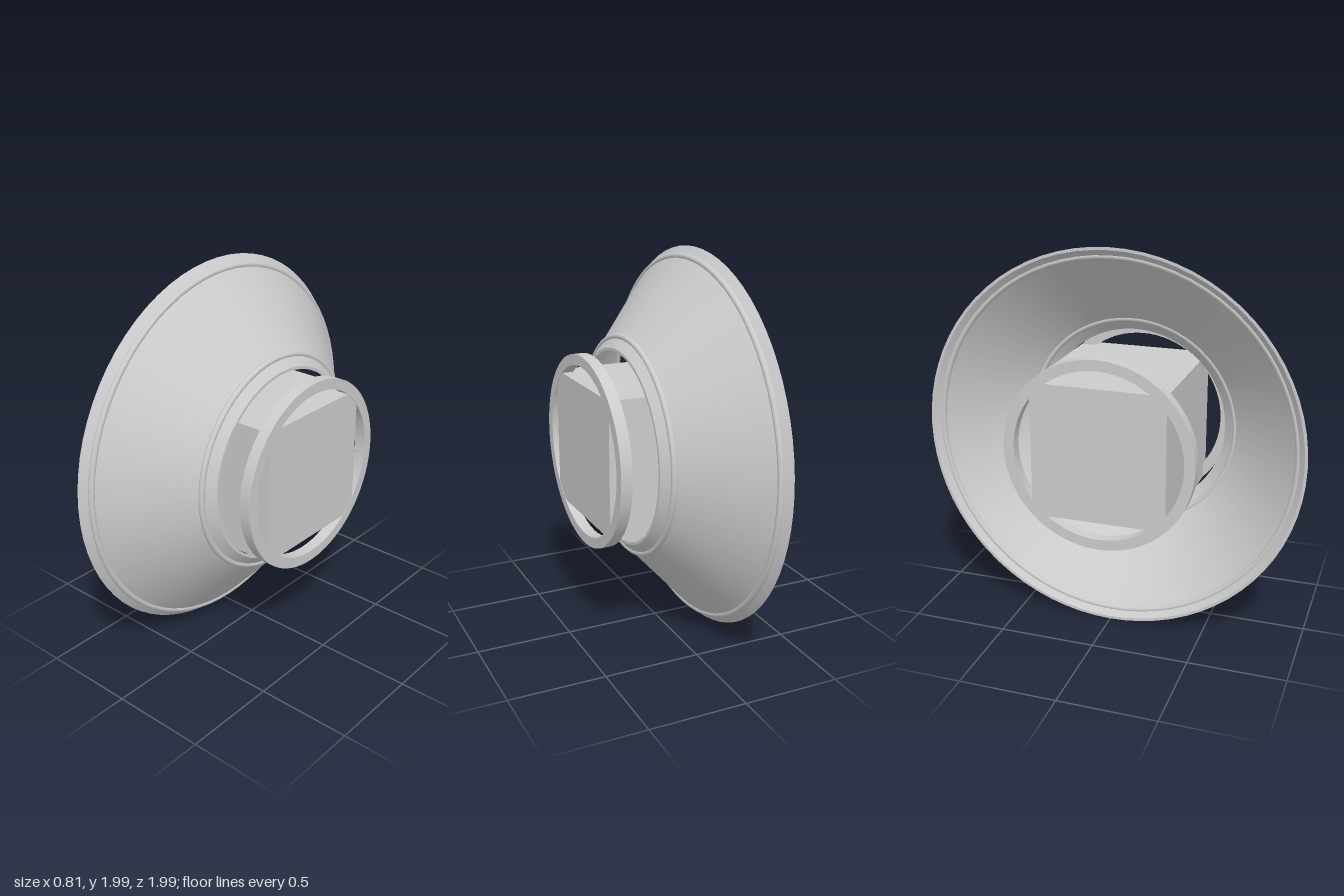
import * as THREE from 'three';

export function createModel() {
  const model = new THREE.Group();
  const grey = new THREE.MeshStandardMaterial({ color: 0xcccccc });
  grey.name = 'light grey';
  const axle = new THREE.Group(); // local y becomes the x axis
  axle.name = 'axle';
  axle.rotation.z = -Math.PI / 2;
  axle.position.y = 1;
  model.add(axle);

  const add = (name, geometry, y = 0) => {
    const mesh = new THREE.Mesh(geometry, grey);
    mesh.name = name;
    mesh.position.y = y;
    axle.add(mesh);
    return mesh;
  };

  // Revolves a closed outline; each straight run gets its own crisp edges
  const revolve = (name, points) => {
    const group = new THREE.Group();
    group.name = name;
    points.forEach((p, i) => {
      const q = points[(i + 1) % points.length];
      const geometry = new THREE.LatheGeometry(
        [new THREE.Vector2(...p), new THREE.Vector2(...q)], 72);
      const face = new THREE.Mesh(geometry, grey);
      face.name = name + 'Face';
      group.add(face);
    });
    axle.add(group);
  };

  // Square core
  add('squareCore', new THREE.BoxGeometry(0.7, 0.806, 0.7));

  // Flat rings at both ends of the core
  for (const [name, a, b] of [['leftRing', 0.345, 0.405], ['rightRing', -0.405, -0.345]]) {
    revolve(name, [[0.44, a], [0.495, a], [0.495, b], [0.44, b]]);
  }

  // Thin hollow cone, open at both ends
  revolve('coneShell', [[0.98, -0.22], [0.995, -0.22], [0.51, 0.213], [0.495, 0.213]]);

  // Rounded beads around the cone
  for (const [name, radius, tube, y] of [
    ['rimBead', 0.945, 0.016, -0.18],
    ['collarBead', 0.562, 0.016, 0.163],
  ]) {
    add(name, new THREE.TorusGeometry(radius, tube, 10, 72).rotateX(Math.PI / 2), y);
  }

  return model;
}
